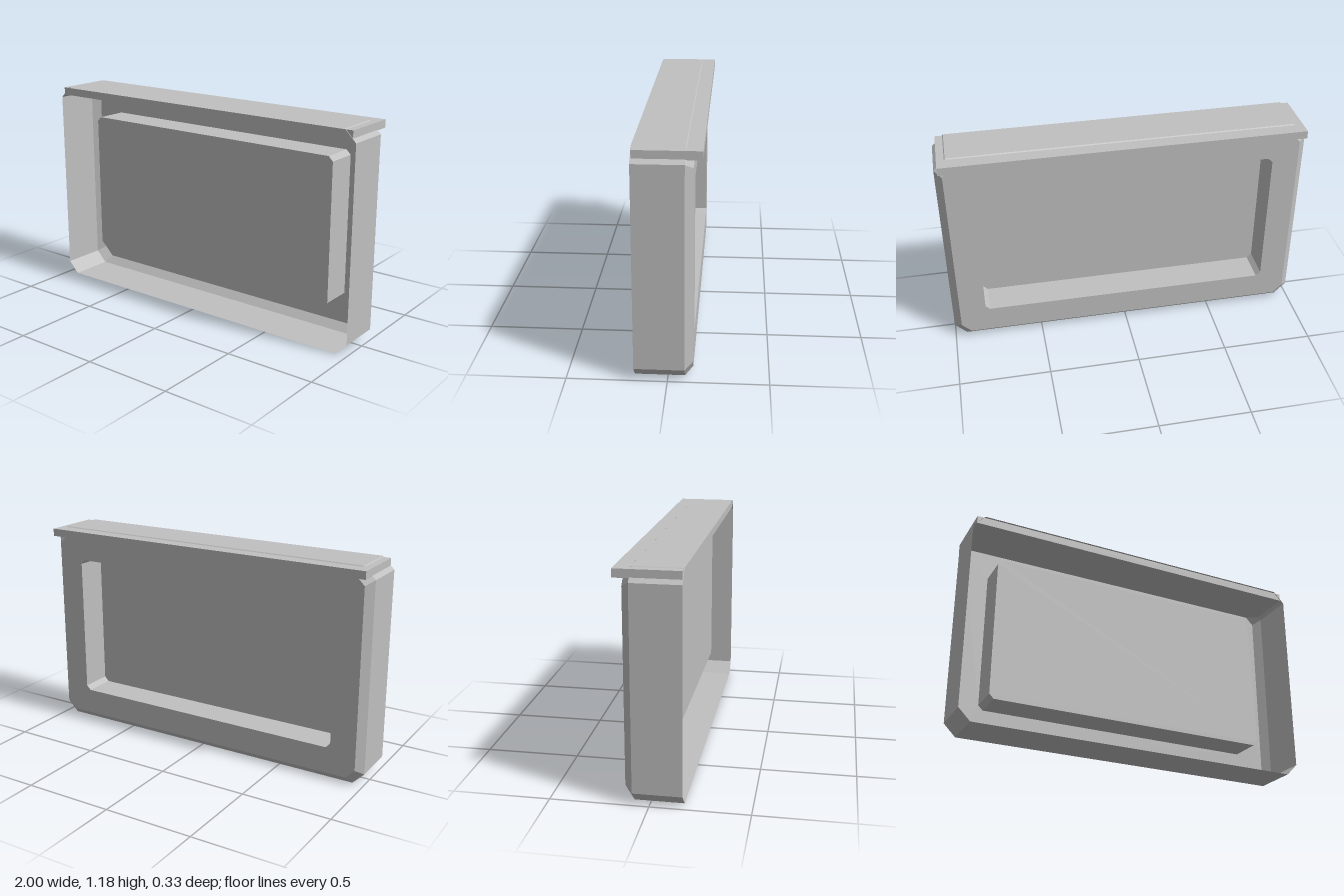
import * as THREE from 'three';

// Rectangle with cut corners at depth z, counter-clockwise seen from +z
function ring(halfW, y0, y1, cut, z) {
  return [
    [halfW, y0 + cut], [halfW, y1 - cut], [halfW - cut, y1], [-halfW + cut, y1],
    [-halfW, y1 - cut], [-halfW, y0 + cut], [-halfW + cut, y0], [halfW - cut, y0],
  ].map(([x, y]) => [x, y, z]);
}

// Flat-shaded skin through successive rings, closed by a cap on the last one
function loft(rings) {
  const pos = [];
  const tri = (a, b, c) => pos.push(...a, ...b, ...c);
  for (let r = 0; r < rings.length - 1; r++) {
    const a = rings[r], b = rings[r + 1], n = a.length;
    for (let i = 0; i < n; i++) {
      const j = (i + 1) % n;
      tri(a[i], b[i], b[j]);
      tri(a[i], b[j], a[j]);
    }
  }
  const cap = rings[rings.length - 1];
  for (let i = 1; i < cap.length - 1; i++) tri(cap[0], cap[i + 1], cap[i]);
  const geo = new THREE.BufferGeometry();
  geo.setAttribute('position', new THREE.Float32BufferAttribute(pos, 3));
  geo.computeVertexNormals();
  return geo;
}

export function createModel() {
  const model = new THREE.Group();
  model.name = 'recessedTray';

  const grey = new THREE.MeshStandardMaterial({ color: 0xc0c0c0, side: THREE.DoubleSide });
  grey.name = 'light grey';

  // Thin shell: open front, bevelled back edge, pocket pressed in from the back
  const shell = new THREE.Mesh(loft([
    ring(1.0, 0, 1.183, 0.065, 0.166),
    ring(1.0, 0, 1.183, 0.065, -0.084),
    ring(0.96, 0.04, 1.143, 0.052, -0.124),
    ring(0.815, 0.187, 1.003, 0.025, -0.124),
    ring(0.815, 0.187, 1.003, 0.025, 0.056),
  ]), grey);
  shell.name = 'shell';
  model.add(shell);

  // Top ledge, overhanging at the back, just below the shell's top panel
  const ledge = new THREE.Mesh(new THREE.BoxGeometry(0.98 * 2, 0.043, 0.328), grey);
  ledge.name = 'topLedge';
  ledge.position.set(0, 1.1565, -0.002);
  model.add(ledge);

  return model;
}
